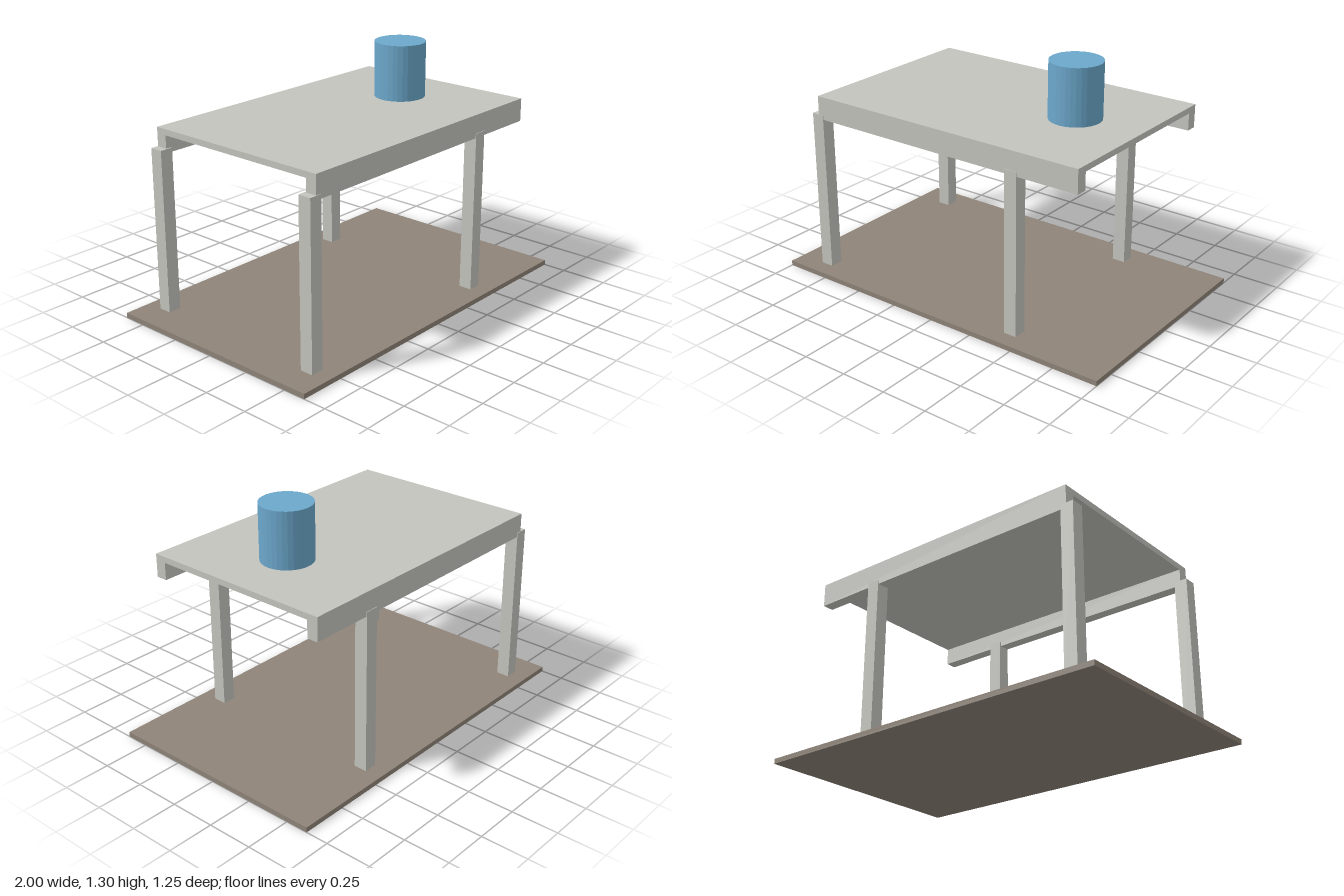
import * as THREE from 'three';

export function createModel() {
  const model = new THREE.Group();
  const concrete = new THREE.MeshStandardMaterial({ color: 0xc4c4be, flatShading: true });
  concrete.name = 'concrete grey';
  const ground = new THREE.MeshStandardMaterial({ color: 0x8e8478, flatShading: true });
  ground.name = 'earth brown';
  const blue = new THREE.MeshStandardMaterial({ color: 0x6ca8cc, flatShading: true });
  blue.name = 'tank blue';

  const add = (name, geometry, material, x, y, z) => {
    const mesh = new THREE.Mesh(geometry, material);
    mesh.name = name;
    mesh.position.set(x, y, z);
    model.add(mesh);
  };

  // Ground plate
  const baseTop = 0.027;
  add('basePlate', new THREE.BoxGeometry(2, baseTop, 1.25), ground, 0, baseTop / 2, 0);

  // Deck: slab with a downstand beam along each long edge, one channel section
  const outer = 0.533, inner = 0.472, top = 1.003, soffit = 0.971, beamBottom = 0.878;
  const deckLength = 1.62;
  const section = new THREE.Shape([
    [-outer, beamBottom], [-inner, beamBottom], [-inner, soffit], [inner, soffit],
    [inner, beamBottom], [outer, beamBottom], [outer, top], [-outer, top],
  ].map(([x, y]) => new THREE.Vector2(x, y)));
  const deck = new THREE.ExtrudeGeometry(section, { depth: deckLength, bevelEnabled: false });
  deck.rotateY(Math.PI / 2);
  add('deckWithBeams', deck, concrete, -deckLength / 2, 0, 0);

  // Four square columns, reaching slightly up past the underside of the beams
  const columnTop = 0.902, columnWidth = 0.072;
  const columnHeight = columnTop - baseTop;
  for (const [end, x] of [['right', -0.815], ['left', 0.435]]) {
    for (const [side, z] of [['Front', 0.5], ['Back', -0.5]]) {
      add(end + side + 'Column', new THREE.BoxGeometry(columnWidth, columnHeight, columnWidth),
        concrete, x, baseTop + columnHeight / 2, z);
    }
  }

  // Cylindrical tank on the deck
  const tankHeight = 0.3;
  add('tank', new THREE.CylinderGeometry(0.137, 0.137, tankHeight, 32), blue, 0.435, top + tankHeight / 2, 0);

  return model;
}
